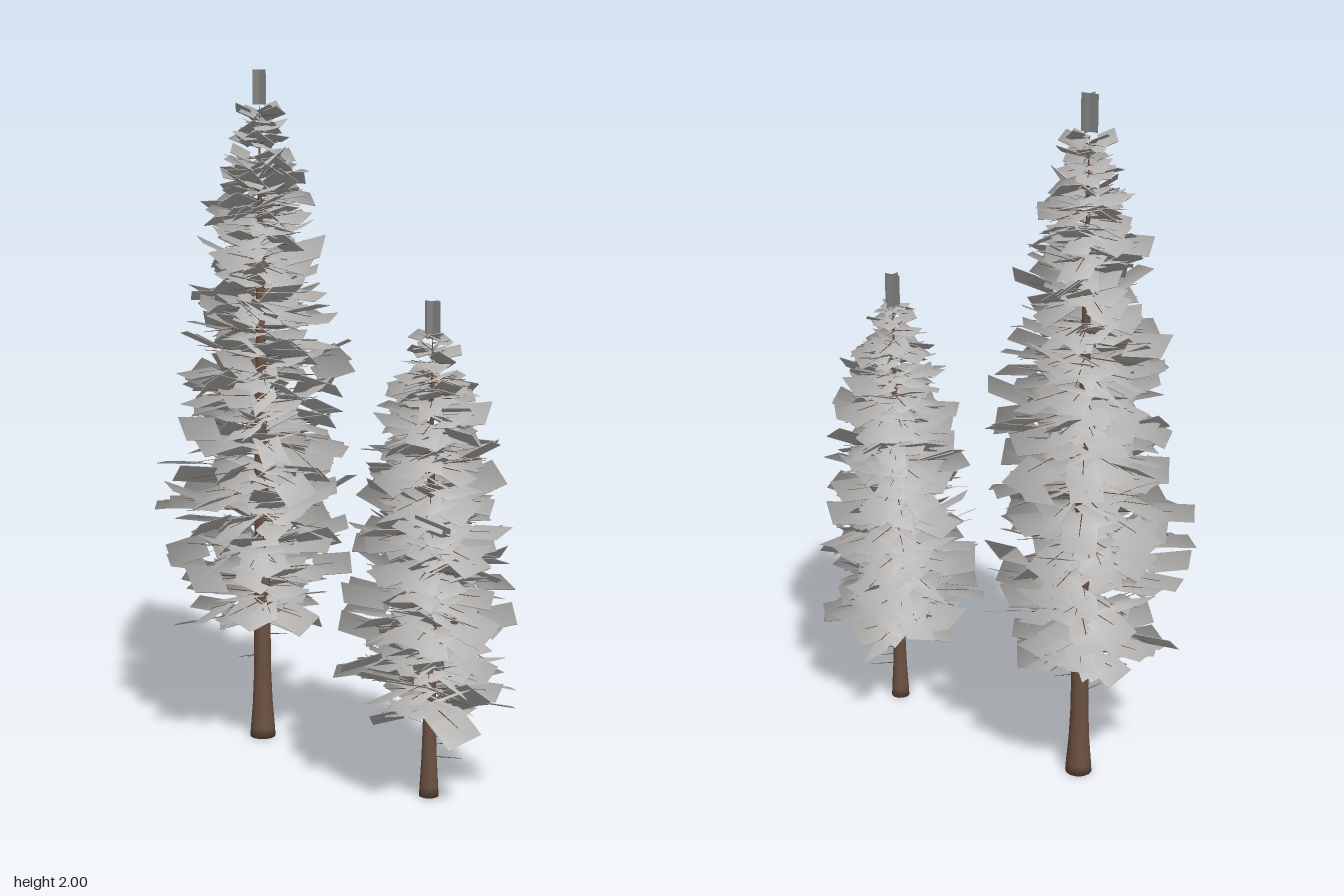
import * as THREE from 'three';
import { mergeGeometries } from 'three/addons/utils/BufferGeometryUtils.js';

// small seeded random generator
function seeded(seed) {
  let s = seed;
  return () => {
    s = (s * 1664525 + 1013904223) % 4294967296;
    return s / 4294967296;
  };
}

// linear lookup in a list of [y, value] pairs
function sample(profile, y) {
  for (let i = 1; i < profile.length; i++) {
    const [y0, a] = profile[i - 1], [y1, b] = profile[i];
    if (y <= y1) return a + (b - a) * Math.max(0, (y - y0) / (y1 - y0));
  }
  return profile[profile.length - 1][1];
}

// thin rectangular foliage plate along +x, starting at the origin
function card(width, length) {
  return new THREE.BoxGeometry(length, 0.0016, width).translate(length / 2, 0, 0);
}

// soft crown shading: both faces share a normal given by a rule on the position
function shade(g, rule) {
  const p = g.attributes.position, n = new THREE.Vector3();
  for (let i = 0; i < p.count; i++) {
    n.set(...rule(p.getX(i), p.getZ(i))).normalize();
    g.attributes.normal.setXYZ(i, n.x, n.y, n.z);
  }
  return g;
}

// thin bare branch along +x
function twig(length, radius) {
  return new THREE.CylinderGeometry(radius * 0.4, radius, length, 3)
    .rotateZ(-Math.PI / 2).translate(length / 2, 0, 0);
}

function makeTree(o, bark, needles) {
  const rand = seeded(o.seed);
  const spread = (a) => (rand() * 2 - 1) * a;
  const tree = new THREE.Group();
  tree.name = o.name;

  // trunk with a flared foot
  const r = o.trunk, h = o.height;
  const outline = [[0, 0], [r, 0], [r * 0.95, 0.03], [r * 0.78, 0.11], [r * 0.68, 0.2],
    [r * 0.55, h * 0.4], [r * 0.3, h * 0.7], [0, h * 0.95]]
    .map(([x, y]) => new THREE.Vector2(x, y));
  const trunk = new THREE.Mesh(new THREE.LatheGeometry(outline, 12), bark);
  trunk.name = 'trunk';
  tree.add(trunk);

  // whorls of branches, each with an inner and an outer card
  const cards = [], twigs = [];
  const top = o.profile[o.profile.length - 1][0];
  let turn = 0;
  for (let y = o.profile[0][0]; y <= top; y += o.step) {
    const reach = sample(o.profile, y);
    const count = reach > 0.12 ? 10 : 7;
    turn += 0.7;
    for (let i = 0; i < count; i++) {
      const yaw = turn + (i / count) * Math.PI * 2 + spread(0.25);
      const len = reach * (0.76 + 0.4 * rand() ** 2);
      const pitch = 0.02 + spread(0.18);
      const height = y + spread(o.step * 0.6);
      const place = (g) => g.rotateZ(pitch).rotateY(yaw).translate(0, height, 0);
      const size = Math.min(0.115, len * 0.65);
      const width = Math.min(0.088, 0.025 + len * 0.32);
      for (const start of [len * 0.1, len - size]) {
        const leaf = card(width * (0.85 + rand() * 0.3), size)
          .rotateX(spread(0.75)).rotateZ(0.04 + spread(0.4)).translate(start, 0, 0);
        cards.push(shade(place(leaf), (x, z) => [x, 0.12, z]));
      }
      twigs.push(place(twig(len * 0.8, 0.0022)));
    }
  }

  // bare dead twigs below the crown
  for (let i = 0; i < o.dead; i++) {
    twigs.push(twig(0.05 + rand() * 0.04, 0.002).rotateZ(spread(0.1))
      .rotateY(rand() * 6.28).translate(0, o.profile[0][0] - 0.04 - rand() * 0.14, 0));
  }

  // crossed upright cards at the tip
  for (const a of [0.1, Math.PI / 2 + 0.1]) {
    const plate = new THREE.BoxGeometry(0.052, 0.1, 0.0016).rotateY(a).translate(0, h - 0.05, 0);
    cards.push(shade(plate, () => [0.6, 0, -0.8]));
  }

  const foliage = new THREE.Mesh(mergeGeometries(cards), needles);
  foliage.name = 'foliage';
  const branches = new THREE.Mesh(mergeGeometries(twigs), bark);
  branches.name = 'branches';
  tree.add(foliage, branches);
  tree.position.set(o.x, 0, o.z);
  return tree;
}

export function createModel() {
  const bark = new THREE.MeshStandardMaterial({ color: 0x6b5143 });
  bark.name = 'brown bark';
  const needles = new THREE.MeshStandardMaterial({ color: 0xb2b1af });
  needles.name = 'grey needles';

  const model = new THREE.Group();
  model.name = 'conifers';
  model.add(
    makeTree({
      name: 'tallTree', seed: 11, x: -0.315, z: 0.02, height: 2, trunk: 0.039, step: 0.048, dead: 7,
      profile: [[0.42, 0.235], [0.6, 0.28], [0.85, 0.28], [1.1, 0.255], [1.3, 0.215],
        [1.5, 0.17], [1.7, 0.145], [1.8, 0.09], [1.88, 0.065]],
    }, bark, needles),
    makeTree({
      name: 'shortTree', seed: 29, x: 0.395, z: 0.015, height: 1.38, trunk: 0.028, step: 0.042, dead: 3,
      profile: [[0.26, 0.215], [0.45, 0.245], [0.6, 0.22], [0.8, 0.195], [1.0, 0.165],
        [1.15, 0.13], [1.22, 0.08], [1.29, 0.055]],
    }, bark, needles),
  );
  return model;
}
